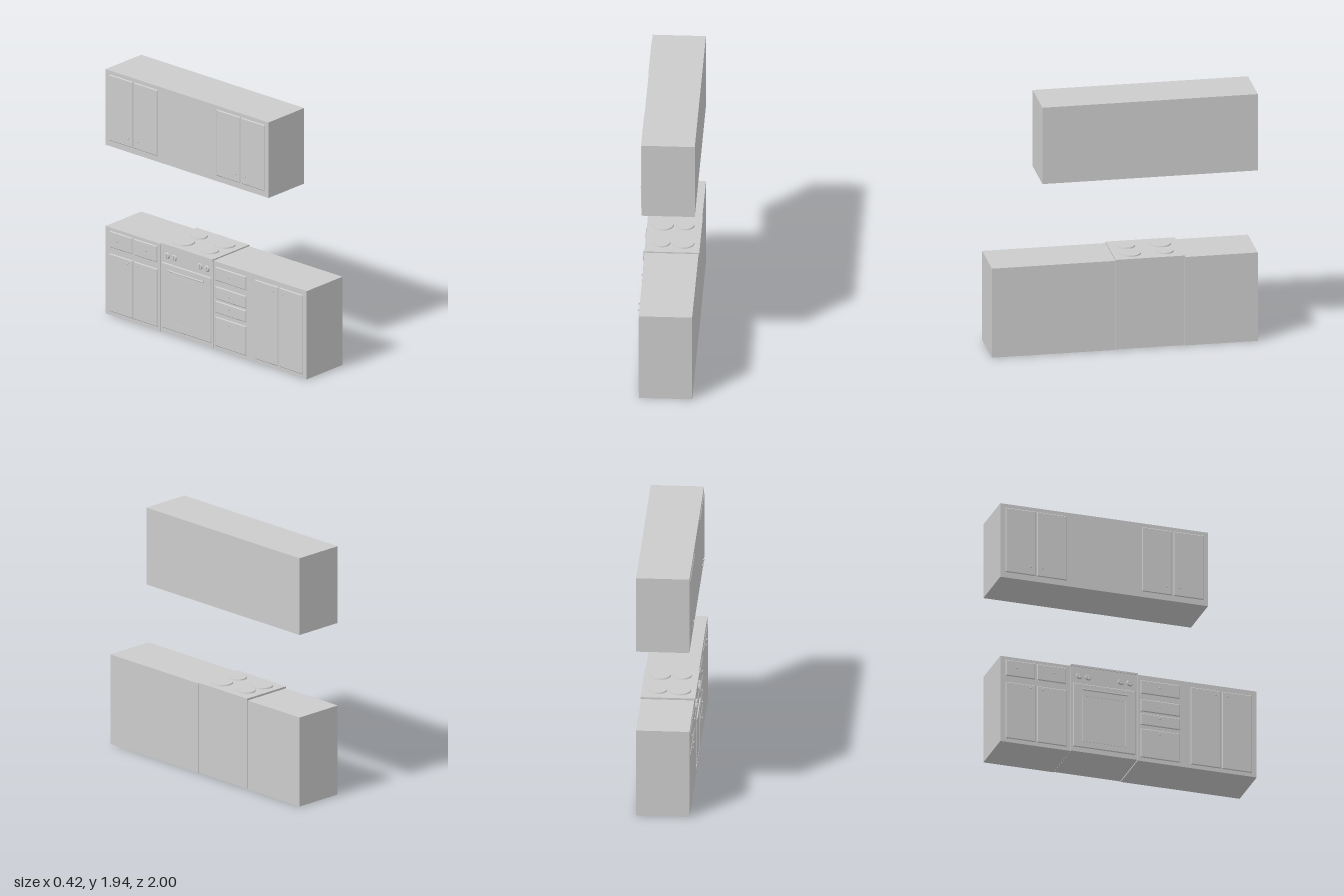
import * as THREE from 'three';

const material = new THREE.MeshStandardMaterial({ color: 0xcccccc });
const FACE = -0.195; // plane of the cabinet fronts, which look towards -x

export function createModel() {
  const group = new THREE.Group();

  function add(name, geometry, x, y, z, parent = group) {
    const mesh = new THREE.Mesh(geometry, material);
    mesh.name = name;
    mesh.position.set(x, y, z);
    parent.add(mesh);
    return mesh;
  }

  // Box given by its limits on each axis
  function block(name, x0, x1, y0, y1, z0, z1) {
    return add(name, new THREE.BoxGeometry(x1 - x0, y1 - y0, z1 - z0),
      (x0 + x1) / 2, (y0 + y1) / 2, (z0 + z1) / 2);
  }

  // Thin raised panel with chamfered edges on a cabinet front
  function panel(name, y0, y1, z0, z1, depth = 0.006, face = FACE) {
    const h = y1 - y0, w = z1 - z0, chamfer = 0.006;
    const geometry = new THREE.BoxGeometry(depth, h, w);
    const p = geometry.attributes.position;
    for (let i = 0; i < p.count; i++) {
      if (p.getX(i) > 0) continue;
      p.setY(i, p.getY(i) * (1 - 2 * chamfer / h));
      p.setZ(i, p.getZ(i) * (1 - 2 * chamfer / w));
    }
    geometry.computeVertexNormals();
    return add(name, geometry, face - depth / 2, (y0 + y1) / 2, (z0 + z1) / 2);
  }

  // Small round pull: stem and head turned about the x axis
  function pull(name, y, z) {
    const profile = [[0, 0], [0.004, 0], [0.004, 0.006], [0.008, 0.008], [0.008, 0.012], [0.005, 0.014], [0, 0.014]]
      .map(([r, t]) => new THREE.Vector2(r, t));
    add(name, new THREE.LatheGeometry(profile, 14), FACE - 0.003, y, z).rotation.z = Math.PI / 2;
  }

  // Pair of doors meeting at z = mid, pulls beside the gap
  function doorPair(name, y0, y1, mid, pullY) {
    for (const s of [-1, 1]) {
      const a = mid + s * 0.004, b = mid + s * 0.24;
      panel(name, y0, y1, Math.min(a, b), Math.max(a, b));
      pull(name + 'Pull', pullY, mid + s * 0.047);
    }
  }

  // Wall cabinet
  block('wallCabinet', FACE, 0.2, 1.34, 1.94, -1, 0.62);
  doorPair('wallCabinetDoor', 1.385, 1.91, -0.72, 1.45);
  doorPair('wallCabinetDoor', 1.385, 1.91, 0.345, 1.45);

  // Base cabinet with two drawers above two doors
  block('leftBaseCabinet', FACE, 0.2, 0, 0.695, -1, -0.452);
  doorPair('leftBaseDoor', 0.03, 0.49, -0.72, 0.46);
  for (const s of [-1, 1]) {
    const mid = -0.722 + s * 0.122;
    panel('leftDrawer', 0.54, 0.67, mid - 0.114, mid + 0.114);
    pull('leftDrawerPull', 0.61, -0.73 + s * 0.143);
  }

  // Base cabinet with a drawer stack and two doors
  block('rightBaseCabinet', FACE, 0.2, 0, 0.7, 0.072, 1);
  for (const [y0, y1, knobY] of [[0.55, 0.66, 0.61], [0.405, 0.505, 0.455], [0.295, 0.39, 0.36], [0.03, 0.265, 0.23]]) {
    panel('stackDrawer', y0, y1, 0.095, 0.4);
    pull('stackDrawerPull', knobY, 0.24);
  }
  doorPair('rightBaseDoor', 0.03, 0.66, 0.725, 0.62);

  // Stove body and overhanging cooktop
  block('stoveBody', FACE - 0.001, 0.201, 0.004, 0.697, -0.448, 0.068);
  block('cooktop', -0.201, 0.205, 0.695, 0.709, -0.45, 0.07);

  // Burners: large and small on opposite diagonals
  for (const [x, z, r] of [[-0.082, -0.32, 0.08], [0.082, -0.32, 0.067], [0.082, -0.062, 0.08], [-0.082, -0.062, 0.067]]) {
    add('burner', new THREE.CylinderGeometry(r - 0.003, r, 0.01, 40), x, 0.713, z);
  }

  // Oven door with inset window frame
  panel('ovenDoor', 0.04, 0.56, -0.435, 0.055, 0.006, FACE - 0.001);
  const [w0, w1, h0, h1] = [-0.36, -0.02, 0.09, 0.47];
  const frame = new THREE.Shape([
    [w0, h0], [w1, h0], [w1, h1], [w0, h1]].map(([z, y]) => new THREE.Vector2(-z, y)));
  const t = 0.008;
  frame.holes.push(new THREE.Path([
    [w0 + t, h0 + t], [w0 + t, h1 - t], [w1 - t, h1 - t], [w1 - t, h0 + t]].map(([z, y]) => new THREE.Vector2(-z, y))));
  add('ovenWindowFrame', new THREE.ExtrudeGeometry(frame, { depth: 0.003, bevelEnabled: false }),
    FACE - 0.006, 0, 0).rotation.y = Math.PI / 2;
  group.children.at(-1).position.x -= 0.003;

  // Oven handle bar on two posts
  add('ovenHandle', new THREE.CylinderGeometry(0.006, 0.006, 0.35, 16), -0.21, 0.51, -0.19).rotation.x = Math.PI / 2;
  for (const z of [-0.34, -0.04]) {
    add('ovenHandlePost', new THREE.CylinderGeometry(0.004, 0.004, 0.012, 10), -0.205, 0.51, z).rotation.z = Math.PI / 2;
  }

  // Stove control knobs: disc with a grip bar
  for (const z of [-0.385, -0.315, -0.06, 0.01]) {
    add('controlKnob', new THREE.CylinderGeometry(0.021, 0.025, 0.012, 24), -0.202, 0.62, z).rotation.z = Math.PI / 2;
    add('controlKnobGrip', new THREE.BoxGeometry(0.008, 0.04, 0.008), -0.21, 0.62, z);
  }

  return group;
}
